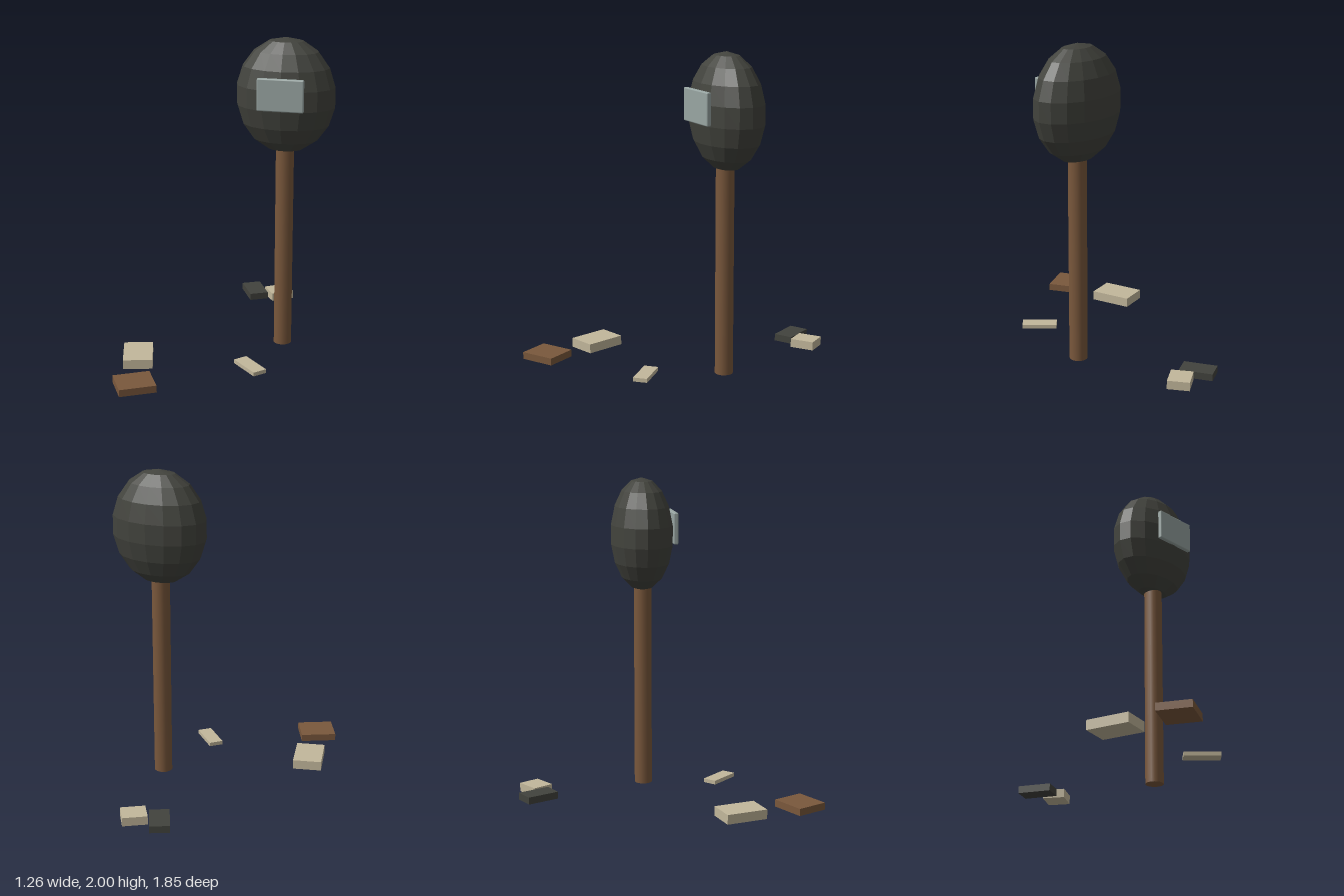
import * as THREE from 'three';
import { RoundedBoxGeometry } from 'three/addons/geometries/RoundedBoxGeometry.js';

const material = (name, color, flatShading = false) => {
  const m = new THREE.MeshStandardMaterial({ color, flatShading });
  m.name = name;
  return m;
};

export function createModel() {
  const group = new THREE.Group();
  const charcoal = material('charcoal', 0x42433d, true);
  const wood = material('wood brown', 0x7a583c);
  const tan = material('pale tan', 0xc2b79b);
  const glass = material('grey glass', 0x98a5a2);

  const add = (name, geometry, mat, x, y, z, turn = 0) => {
    const mesh = new THREE.Mesh(geometry, mat);
    mesh.name = name;
    mesh.position.set(x, y, z);
    mesh.rotation.y = turn;
    group.add(mesh);
    return mesh;
  };

  // Upright post
  add('post', new THREE.CylinderGeometry(0.057, 0.057, 1.32, 16), wood, 0.32, 0.66, -0.095);

  // Faceted, flattened helmet on top of the post
  const helmet = new THREE.SphereGeometry(1, 16, 9);
  helmet.scale(0.31, 0.36, 0.2);
  add('helmet', helmet, charcoal, 0.32, 1.64, -0.1);

  // Viewing window on the helmet front
  add('window', new RoundedBoxGeometry(0.285, 0.2, 0.03, 2, 0.008), glass, 0.322, 1.685, 0.1);

  // Loose slabs scattered on the ground: name, material, size, centre, turn
  const slabs = [
    ['darkSlab', charcoal, [0.125, 0.045, 0.21], [-0.005, 0.037, -0.803], 0.47],
    ['squareTanSlab', tan, [0.155, 0.055, 0.138], [0.164, 0.037, -0.81], 0.58],
    ['largeTanSlab', tan, [0.183, 0.06, 0.265], [-0.51, 0.035, 0.39], 0.26],
    ['thinTanSlab', tan, [0.222, 0.025, 0.09], [0.206, 0.037, 0.393], -0.785],
    ['brownSlab', wood, [0.228, 0.045, 0.206], [-0.42, 0.037, 0.78], 0.49],
  ];
  for (const [name, mat, size, centre, turn] of slabs) {
    add(name, new THREE.BoxGeometry(...size), mat, ...centre, turn);
  }

  return group;
}
